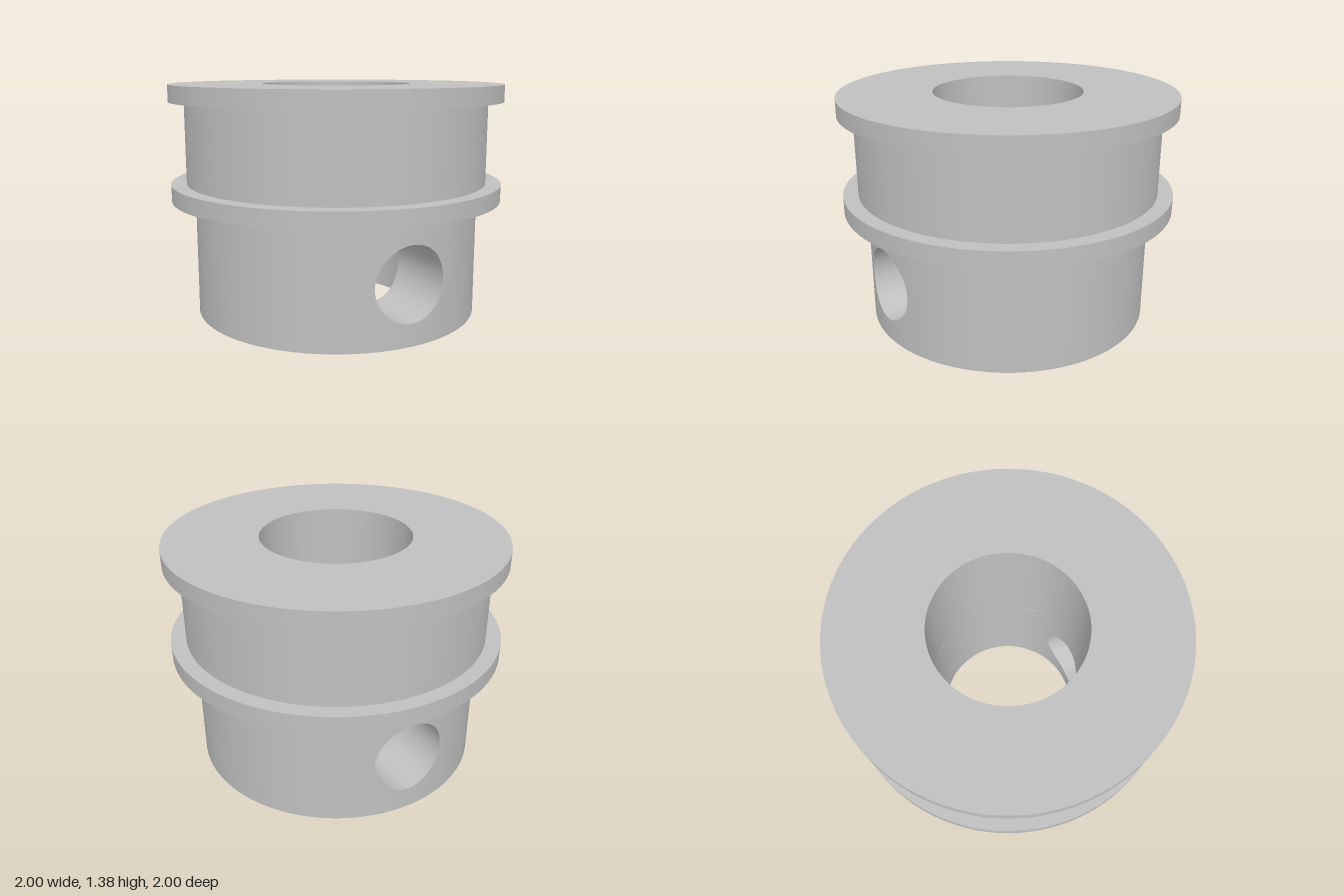
import * as THREE from 'three';
import { mergeGeometries } from 'three/addons/utils/BufferGeometryUtils.js';
import { ParametricGeometry } from 'three/addons/geometries/ParametricGeometry.js';

const BORE = 0.445, HUB = 0.86, GROOVE = 0.91, RIM = 1;
const HUB_TOP = 0.695, LOW_TOP = 0.795, UP_BOTTOM = 1.28, TOP = 1.38;
const HOLE = 0.217, HALF = HUB_TOP / 2; // cross hole radius; half size of the square patch around it
const SEGMENTS = 96;

// Revolved strips, one per profile edge, so every corner stays sharp
function revolve(points, start = 0, length = Math.PI * 2) {
  const steps = Math.ceil(SEGMENTS * length / (Math.PI * 2));
  return mergeGeometries(points.slice(1).map((p, i) => new THREE.LatheGeometry(
    [new THREE.Vector2(...points[i]), new THREE.Vector2(...p)], steps, start, length)));
}

// Square piece of a cylinder wall with the round cross hole in it
function piercedWall(radius, direction) {
  return new ParametricGeometry((u, v, target) => {
    const a = u * Math.PI * 2 * direction, c = Math.cos(a), s = Math.sin(a);
    const edge = HALF / Math.max(Math.abs(c), Math.abs(s));
    const d = THREE.MathUtils.lerp(HOLE, edge, v);
    const x = c * d;
    target.set(x, HALF + s * d, Math.sqrt(radius * radius - x * x));
  }, 64, 6);
}

// Lining of the cross hole, from the outer wall to the bore
function holeLining() {
  return new ParametricGeometry((u, v, target) => {
    const a = u * Math.PI * 2, x = Math.cos(a) * HOLE;
    const outer = Math.sqrt(HUB * HUB - x * x), inner = Math.sqrt(BORE * BORE - x * x);
    target.set(x, HALF + Math.sin(a) * HOLE, THREE.MathUtils.lerp(outer, inner, v));
  }, 64, 1);
}

// Plain wall between the front and back patches
function sideWall(radius, y0, y1) {
  const a = Math.asin(HALF / radius);
  return revolve([[radius, y0], [radius, y1]], a, Math.PI - 2 * a);
}

export function createModel() {
  const group = new THREE.Group();
  group.name = 'flangedCollar';
  const metal = new THREE.MeshStandardMaterial({ color: 0xc0c0c0 });
  metal.name = 'grey metal';

  const add = (name, geometry, turn = 0) => {
    const mesh = new THREE.Mesh(geometry, metal);
    mesh.name = name;
    mesh.rotation.y = turn;
    group.add(mesh);
  };

  // Flanges, groove and upper bore
  add('hubUnderside', revolve([[BORE, 0], [HUB, 0]]));
  add('lowerFlange', revolve([[HUB, HUB_TOP], [RIM, HUB_TOP], [RIM, LOW_TOP], [GROOVE, LOW_TOP]]));
  add('groove', revolve([[GROOVE, LOW_TOP], [GROOVE, UP_BOTTOM]]));
  add('upperFlange', revolve([[GROOVE, UP_BOTTOM], [RIM, UP_BOTTOM], [RIM, TOP], [BORE, TOP]]));
  add('upperBore', revolve([[BORE, TOP], [BORE, HUB_TOP]]));

  // Hub with a cross hole, built as two matching halves
  for (const [side, turn] of [['front', 0], ['back', Math.PI]]) {
    add(side + 'HubWall', mergeGeometries([piercedWall(HUB, -1), sideWall(HUB, 0, HUB_TOP)]), turn);
    add(side + 'HubBore', mergeGeometries([piercedWall(BORE, 1), sideWall(BORE, HUB_TOP, 0)]), turn);
    add(side + 'CrossHole', holeLining(), turn);
  }
  return group;
}
